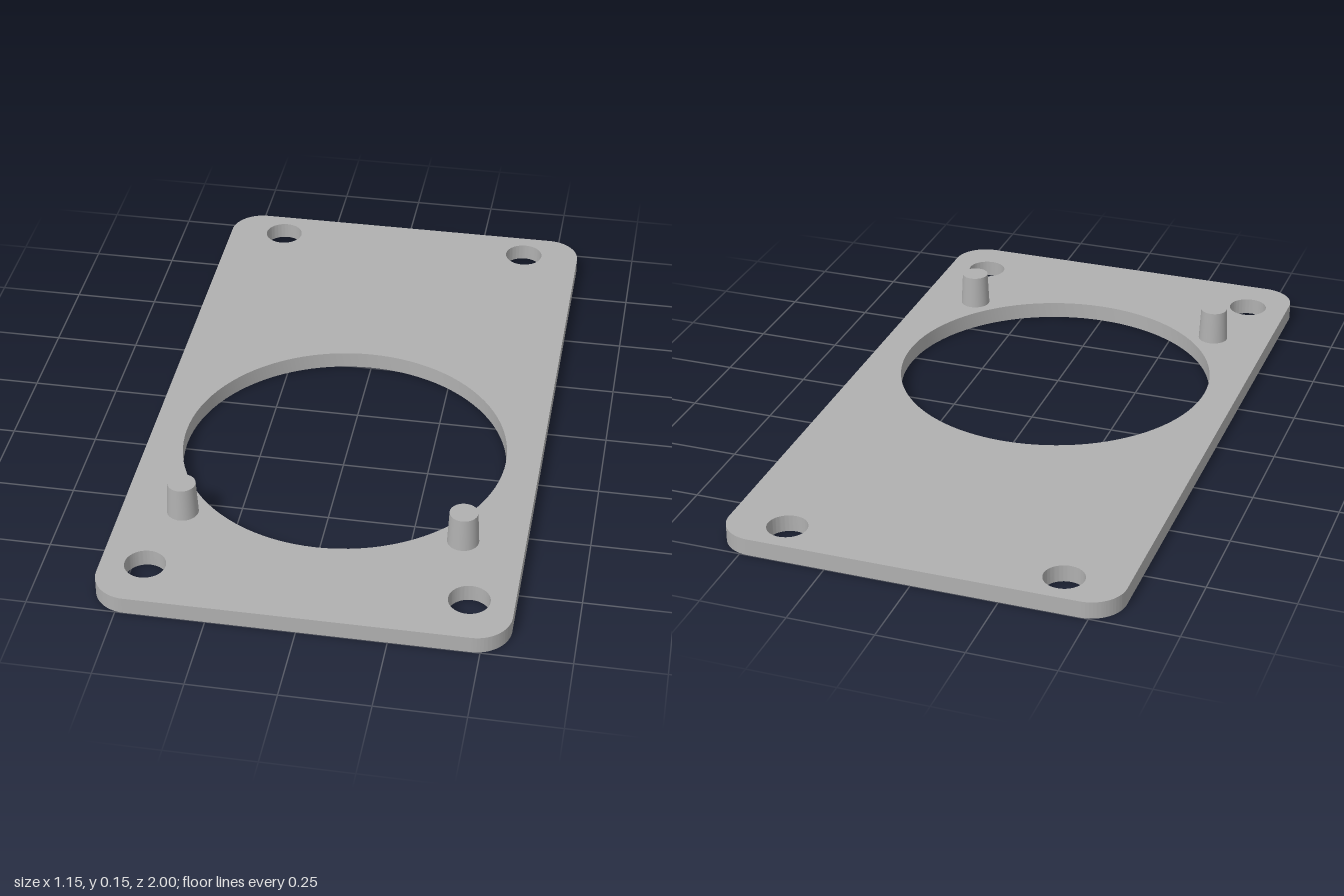
import * as THREE from 'three';
import { toCreasedNormals } from 'three/addons/utils/BufferGeometryUtils.js';

const W = 0.575, L = 1, R = 0.1;   // half width, half length, corner radius
const THICK = 0.05, PEG = 0.1;     // plate thickness, peg height

export function createModel() {
  const group = new THREE.Group();
  const grey = new THREE.MeshStandardMaterial({ color: 0xb0b0b0 });
  grey.name = 'plain grey';

  // Rounded outline, drawn with shape y = -z
  const outline = new THREE.Shape();
  outline.absarc(W - R, L - R, R, 0, Math.PI / 2);
  outline.absarc(-W + R, L - R, R, Math.PI / 2, Math.PI);
  outline.absarc(-W + R, -L + R, R, Math.PI, Math.PI * 1.5);
  outline.absarc(W - R, -L + R, R, Math.PI * 1.5, Math.PI * 2);
  outline.closePath();

  const addHole = (x, z, r) => {
    const hole = new THREE.Path();
    hole.absarc(x, -z, r, 0, Math.PI * 2, true);
    outline.holes.push(hole);
  };
  // Large opening, then the four screw holes
  addHole(0, 0.222, 0.475);
  for (const side of [-1, 1]) {
    addHole(side * 0.4, -0.9, 0.058);
    addHole(side * 0.45, 0.847, 0.058);
  }

  // Plate
  const plateGeo = new THREE.ExtrudeGeometry(outline, { depth: THICK, bevelEnabled: false, curveSegments: 48 });
  plateGeo.rotateX(-Math.PI / 2);
  const plate = new THREE.Mesh(toCreasedNormals(plateGeo, Math.PI / 5), grey);
  plate.name = 'plate';
  group.add(plate);

  // Tapered locating pegs
  const pegGeo = new THREE.CylinderGeometry(0.04, 0.045, PEG, 48);
  for (const [name, side] of [['leftPeg', 1], ['rightPeg', -1]]) {
    const peg = new THREE.Mesh(pegGeo, grey);
    peg.name = name;
    peg.position.set(side * 0.4, THICK + PEG / 2, 0.6);
    group.add(peg);
  }
  return group;
}
